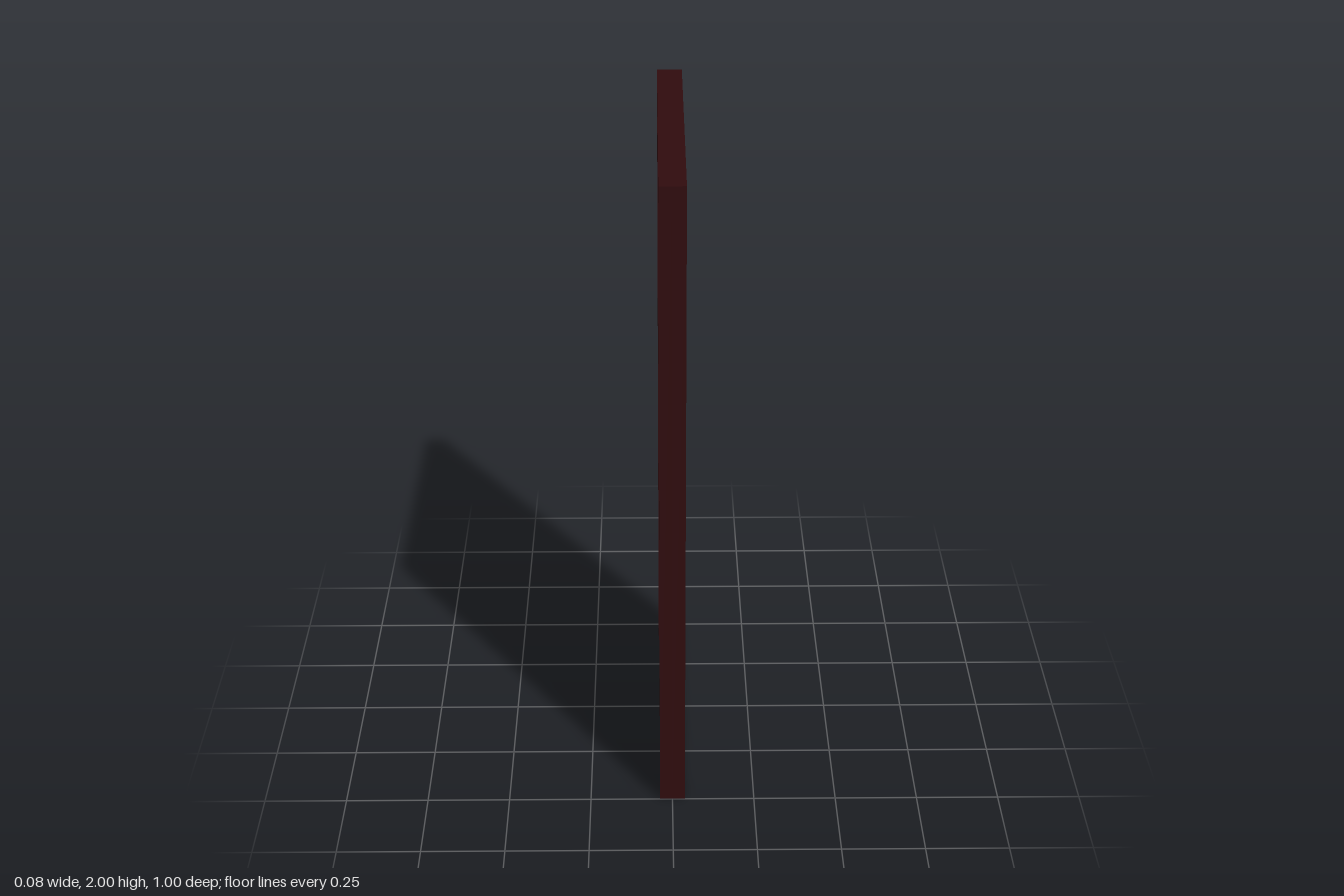
import * as THREE from 'three';

const frameMat = new THREE.MeshStandardMaterial({ color: 0x300c0e });
frameMat.name = 'dark wood';
const leafMat = new THREE.MeshStandardMaterial({ color: 0xcbc3b0 });
leafMat.name = 'cream panel';
const metalMat = new THREE.MeshStandardMaterial({ color: 0xbdb9ae });
metalMat.name = 'handle metal';

const HALF_DEPTH = 0.038, HALF_WIDTH = 0.498, HEIGHT = 2;
const LEAF_BACK = -0.002; // plane where the rebate meets the stop

function add(parent, name, geometry, material, x = 0, y = 0, z = 0) {
  const mesh = new THREE.Mesh(geometry, material);
  mesh.name = name;
  mesh.position.set(x, y, z);
  parent.add(mesh);
  return mesh;
}

// Upside-down U (two jambs and a head) extruded from x0 to x1
function frameLayer(halfOpening, openingTop, x0, x1) {
  const s = new THREE.Shape([
    [-HALF_WIDTH, 0], [-halfOpening, 0], [-halfOpening, openingTop],
    [halfOpening, openingTop], [halfOpening, 0], [HALF_WIDTH, 0],
    [HALF_WIDTH, HEIGHT], [-HALF_WIDTH, HEIGHT],
  ].map(([x, y]) => new THREE.Vector2(x, y)));
  const g = new THREE.ExtrudeGeometry(s, { depth: x1 - x0, bevelEnabled: false });
  return g.rotateY(Math.PI / 2).translate(x0, 0, 0);
}

export function createModel() {
  const door = new THREE.Group();
  door.name = 'door';

  // Frame: narrow opening behind the leaf, wider rebate around it
  const frame = new THREE.Group();
  frame.name = 'frame';
  door.add(frame);
  add(frame, 'frameStop', frameLayer(0.4, 1.9, -HALF_DEPTH, LEAF_BACK), frameMat);
  add(frame, 'frameRebate', frameLayer(0.418, 1.922, LEAF_BACK, HALF_DEPTH), frameMat);

  // Leaf, just clear of the floor
  const thickness = HALF_DEPTH - LEAF_BACK - 0.001;
  add(door, 'leaf', new THREE.BoxGeometry(thickness, 1.911, 0.833), leafMat,
    LEAF_BACK + thickness / 2, 0.009 + 1.911 / 2, 0);

  // Lever handle inside the recess
  const handle = new THREE.Group();
  handle.name = 'handle';
  handle.position.set(LEAF_BACK, 1, 0.35);
  door.add(handle);
  add(handle, 'rose', new THREE.CylinderGeometry(0.02, 0.02, 0.006, 24).rotateZ(Math.PI / 2),
    metalMat, -0.003);
  const path = new THREE.CatmullRomCurve3([
    [0, 0], [-0.018, 0], [-0.026, -0.01], [-0.027, -0.04],
    [-0.027, -0.11], [-0.025, -0.145], [-0.012, -0.168],
  ].map(([x, z]) => new THREE.Vector3(x, 0, z)));
  add(handle, 'lever', new THREE.TubeGeometry(path, 40, 0.0085, 12), metalMat);
  add(handle, 'leverTip', new THREE.SphereGeometry(0.0085, 12, 8), metalMat, -0.012, 0, -0.168);

  return door;
}
